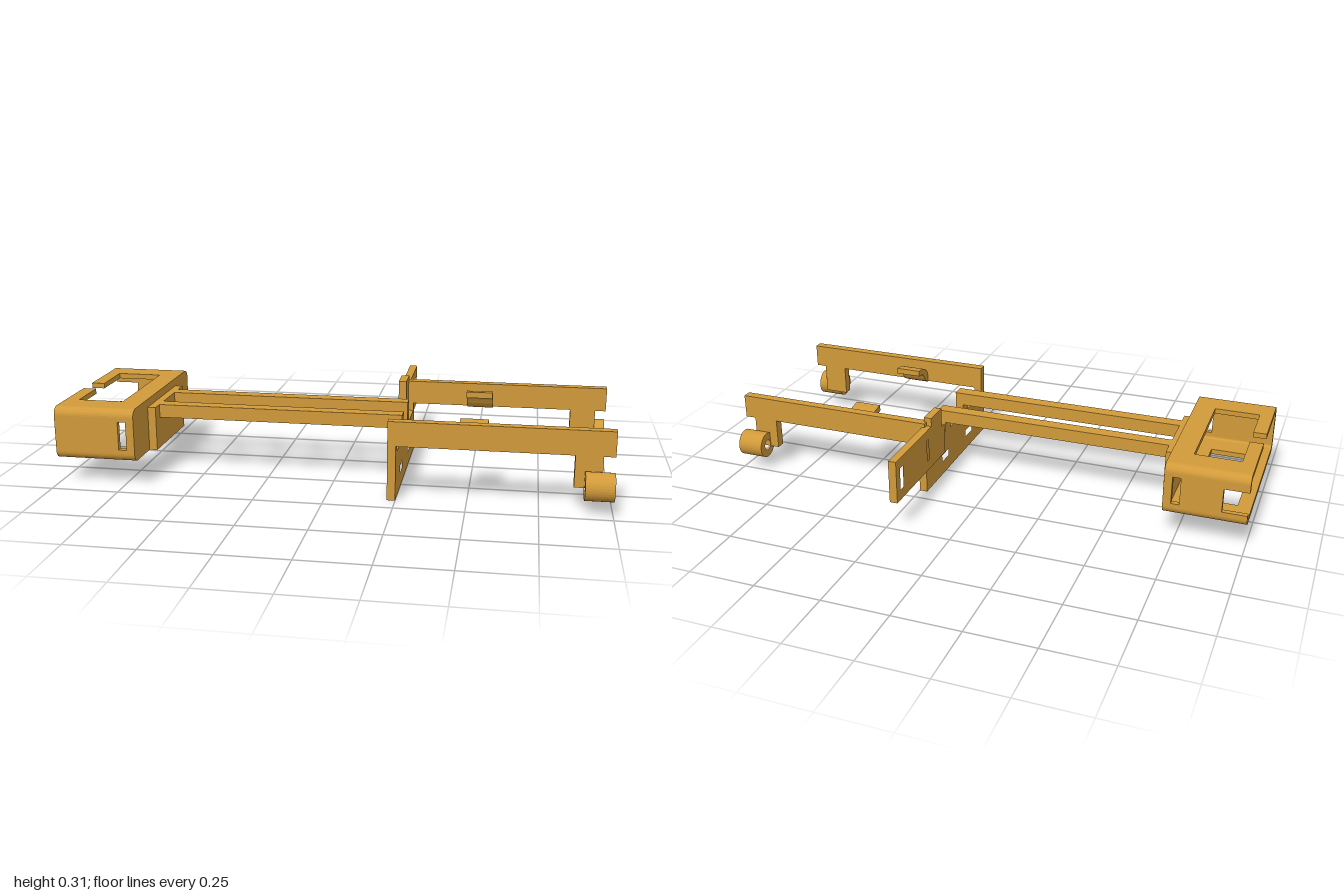
import * as THREE from 'three';

const mat = new THREE.MeshStandardMaterial({ color: 0xd19a3a });

// Rectangle outline from two corners
const rect = (a0, b0, a1, b1) => [[a0, b0], [a1, b0], [a1, b1], [a0, b1]];

// Flat part cut from an outline. Outline pairs: axis x -> [z, y], axis y -> [x, z], axis z -> [x, y]
function plate(name, axis, from, to, points, holes = []) {
  const conv = pts => pts.map(([a, b]) => new THREE.Vector2(axis === 'x' ? -a : a, b));
  const shape = new THREE.Shape(conv(points));
  holes.forEach(h => shape.holes.push(new THREE.Path(conv(h))));
  const geo = new THREE.ExtrudeGeometry(shape, { depth: to - from, bevelEnabled: false });
  if (axis === 'x') geo.rotateY(Math.PI / 2).translate(from, 0, 0);
  if (axis === 'y') geo.rotateX(Math.PI / 2).translate(0, to, 0);
  if (axis === 'z') geo.translate(0, 0, from);
  const mesh = new THREE.Mesh(geo, mat);
  mesh.name = name;
  return mesh;
}

// Arc points around (z, y)
function arc(cz, cy, r, a0, a1, n = 8) {
  return Array.from({ length: n + 1 }, (_, i) => {
    const a = a0 + (a1 - a0) * i / n;
    return [cz + r * Math.cos(a), cy + r * Math.sin(a)];
  });
}

// Rounded sleeve, open at the -x end
function sleeve() {
  const g = new THREE.Group();
  g.name = 'sleeve';
  const x0 = -1, x1 = -0.7, z0 = -0.215, z1 = 0.44, y0 = 0.095, y1 = 0.29, r = 0.03, t = 0.02;
  // top frame with a gap in its outer rim
  g.add(plate('sleeveTop', 'y', y1 - t, y1, [
    [x0, z0 + r], [x1, z0 + r], [x1, z1 - r], [x0, z1 - r], [x0, 0.155], [-0.95, 0.155],
    [-0.95, 0.32], [-0.78, 0.32], [-0.78, -0.1], [-0.95, -0.1], [-0.95, 0.07], [x0, 0.07]]));
  g.add(plate('sleeveBottom', 'y', y0, y0 + t, rect(x0, z0 + r, x1, z1 - r), [rect(-0.95, -0.1, -0.78, 0.32)]));
  // sides with strap slots; the rear one has an end notch
  const slot = rect(-0.76, 0.14, -0.73, 0.245);
  g.add(plate('sleeveFrontSide', 'z', z1 - t, z1, rect(x0, y0 + r, x1, y1 - r), [slot]));
  g.add(plate('sleeveBackSide', 'z', z0, z0 + t, [
    [x0, y0 + r], [x1, y0 + r], [x1, y1 - r], [x0, y1 - r],
    [x0, 0.23], [-0.91, 0.23], [-0.91, 0.14], [x0, 0.14]], [slot]));
  // rounded edges and closed end wall
  const outline = [];
  [[z1 - r, y1 - r], [z0 + r, y1 - r], [z0 + r, y0 + r], [z1 - r, y0 + r]].forEach(([cz, cy], i) => {
    const a = i * Math.PI / 2, b = a + Math.PI / 2;
    const outer = arc(cz, cy, r, a, b);
    g.add(plate('sleeveEdge', 'x', x0, x1, [...outer, ...arc(cz, cy, r - t, b, a)]));
    outline.push(...outer);
  });
  g.add(plate('sleeveEndWall', 'x', x1 - t, x1, outline));
  return g;
}

// Side arm with leg, roller and curved clip, on the front side (z = 0.39 to 0.425)
function arm(mirror) {
  const g = new THREE.Group();
  g.name = mirror ? 'backArm' : 'frontArm';
  const z = v => mirror ? 0.225 - v : v;
  const span = (a, b) => [Math.min(z(a), z(b)), Math.max(z(a), z(b))];
  g.add(plate('armBar', 'z', ...span(0.39, 0.425), [
    [0.22, 0.2], [0.865, 0.2], [0.865, 0.085], [0.96, 0.085], [0.96, 0.2], [1, 0.2], [1, 0.29], [0.22, 0.29]]));
  g.add(plate('roller', 'x', 0.9, 1, arc(z(0.448), 0.1, 0.05, 0, 2 * Math.PI, 32).slice(1),
    [arc(z(0.448), 0.1, 0.02, 0, 2 * Math.PI, 24).slice(1)]));
  const curve = pts => new THREE.CatmullRomCurve3(pts.map(([a, b]) => new THREE.Vector3(z(a), b, 0)))
    .getPoints(12).map(p => [p.x, p.y]);
  g.add(plate('clip', 'x', 0.465, 0.565, [
    ...curve([[0.392, 0.235], [0.37, 0.258], [0.345, 0.272], [0.3, 0.278]]),
    ...curve([[0.3, 0.255], [0.342, 0.245], [0.366, 0.212], [0.392, 0.195]])]));
  return g;
}

export function createModel() {
  const model = new THREE.Group();
  model.name = 'bracketFrame';
  model.add(sleeve());
  model.add(plate('railMount', 'x', -0.7, -0.67, rect(-0.055, 0.095, 0.28, 0.26)));

  // twin rails
  for (const z of [0, 0.183]) model.add(plate('rail', 'z', z, z + 0.05, rect(-0.67, 0.21, 0.25, 0.26)));

  // cross plate with rail tabs and two slots
  model.add(plate('crossPlate', 'x', 0.22, 0.25, [
    [-0.195, 0], [0.425, 0], [0.425, 0.29], [0.39, 0.29], [0.39, 0.17], [0.233, 0.17], [0.233, 0.26],
    [0.183, 0.26], [0.183, 0.17], [0.05, 0.17], [0.05, 0.26], [0, 0.26], [0, 0.17],
    [-0.165, 0.17], [-0.165, 0.29], [-0.195, 0.29]],
  [rect(0.21, 0.055, 0.275, 0.083), rect(-0.04, 0.055, 0.025, 0.083)]));

  // long side plate reaching to the back
  model.add(plate('sidePlate', 'x', 0.2, 0.23, [
    [-0.5, 0.11], [-0.055, 0.11], [-0.055, 0.23], [-0.083, 0.23], [-0.083, 0.308],
    [-0.182, 0.308], [-0.182, 0.275], [-0.5, 0.275]],
  [rect(-0.227, 0.15, -0.212, 0.235), rect(-0.468, 0.15, -0.443, 0.235)]));

  model.add(arm(false), arm(true));
  return model;
}
